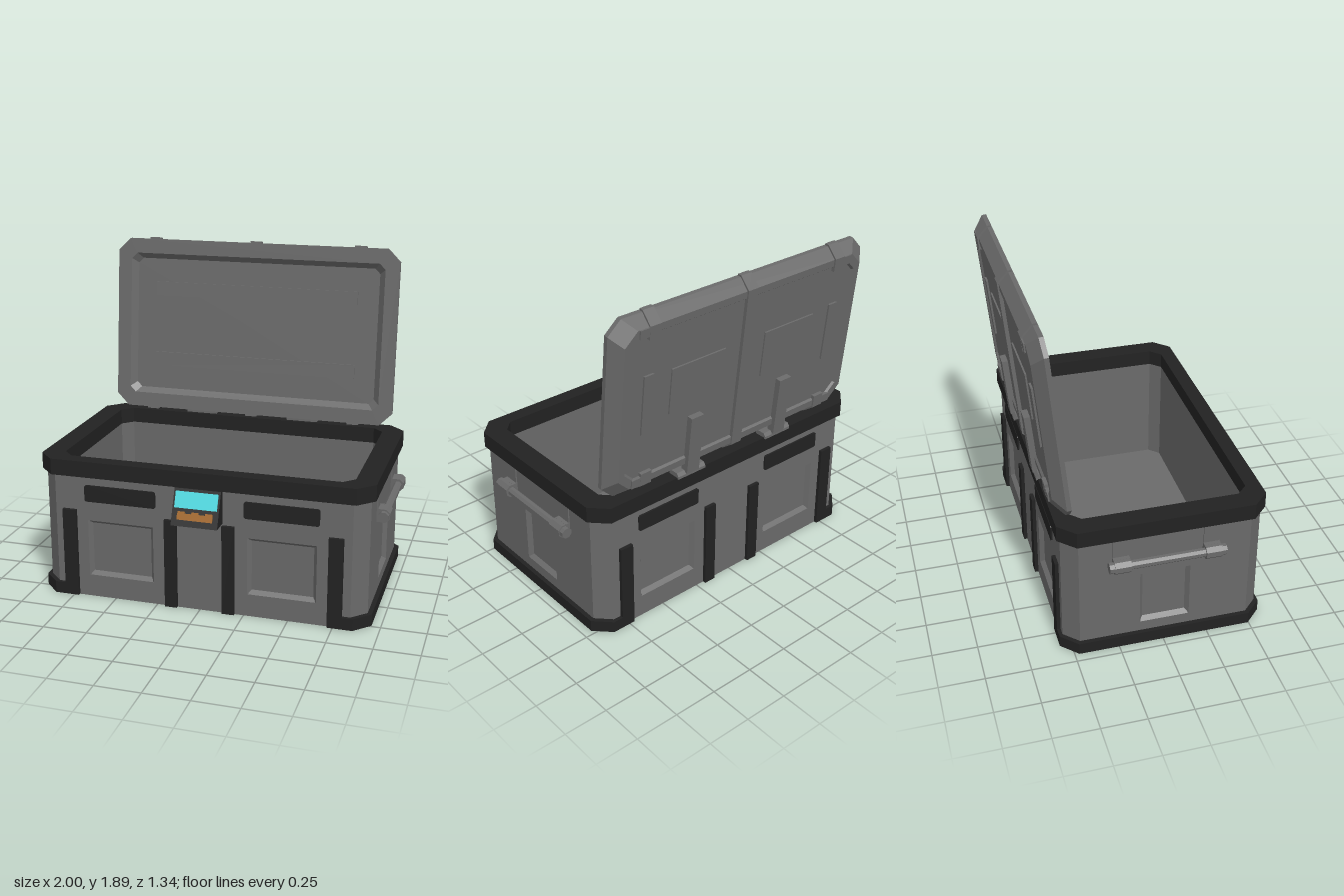
import * as THREE from 'three';

const mat = (name, color) => { const m = new THREE.MeshStandardMaterial({ color }); m.name = name; return m; };

// Mirror a quarter outline (from +x round to +y) into a full loop
function mirror4(q) {
  const r = [...q].reverse();
  return [...q, ...r.map(([x, y]) => [-x, y]), ...q.map(([x, y]) => [-x, -y]), ...r.map(([x, y]) => [x, -y])];
}
const chamferRect = (hx, hy, c) => mirror4([[hx, hy - c], [hx - c, hy]]);
const toShape = pts => new THREE.Shape(pts.map(p => new THREE.Vector2(...p)));

// Extrude a plan outline upward from y0 to y1, optionally hollow
function slab(pts, y0, y1, hole) {
  const s = toShape(pts);
  if (hole) s.holes.push(new THREE.Path(hole.map(p => new THREE.Vector2(...p))));
  return new THREE.ExtrudeGeometry(s, { depth: y1 - y0, bevelEnabled: false }).rotateX(-Math.PI / 2).translate(0, y0, 0);
}

// Extrude a (z, y) side profile across x, centred
function prism(profile, width) {
  return new THREE.ExtrudeGeometry(toShape(profile), { depth: width, bevelEnabled: false })
    .translate(0, 0, -width / 2).rotateY(-Math.PI / 2);
}

// Closed, faceted skin through loops of [points, z], front to back
function loft(loops) {
  const pos = [], P = loops.map(([pts, z]) => pts.map(([x, y]) => [x, y, z]));
  const tri = (...v) => v.forEach(p => pos.push(...p));
  const n = P[0].length, last = P.length - 1;
  for (let i = 0; i < n; i++) {
    const j = (i + 1) % n;
    tri([0, 0, loops[0][1]], P[0][i], P[0][j]);
    tri([0, 0, loops[last][1]], P[last][j], P[last][i]);
    for (let k = 0; k < last; k++) {
      tri(P[k][i], P[k + 1][i], P[k + 1][j]);
      tri(P[k][i], P[k + 1][j], P[k][j]);
    }
  }
  const g = new THREE.BufferGeometry();
  g.setAttribute('position', new THREE.Float32BufferAttribute(pos, 3));
  g.computeVertexNormals();
  return g;
}

export function createModel() {
  const grey = mat('greyShell', 0x6a6a6a), black = mat('blackTrim', 0x222222);
  const cyan = mat('cyanDisplay', 0x4ad9e0), orange = mat('orangeKeys', 0xa0641e);
  const model = new THREE.Group();
  model.name = 'storageCrate';

  const add = (parent, name, geo, m, x = 0, y = 0, z = 0) => {
    const mesh = new THREE.Mesh(geo, m);
    mesh.name = name;
    mesh.position.set(x, y, z);
    parent.add(mesh);
    return mesh;
  };
  // Box given by its bounds
  const box = (parent, name, m, x0, x1, y0, y1, z0, z1) =>
    add(parent, name, new THREE.BoxGeometry(x1 - x0, y1 - y0, z1 - z0), m, (x0 + x1) / 2, (y0 + y1) / 2, (z0 + z1) / 2);
  // Faceted rod along z
  const rod = (parent, name, r, len, x, y, z) => {
    const g = new THREE.CylinderGeometry(r, r, len, 8).rotateY(Math.PI / 8).rotateX(Math.PI / 2).toNonIndexed();
    g.computeVertexNormals();
    return add(parent, name, g, grey, x, y, z);
  };

  // Hollow body; the middle band is notched for the recessed panels
  const body = new THREE.Group();
  body.name = 'body';
  body.position.z = 0.01;
  model.add(body);
  const outer = chamferRect(0.925, 0.555, 0.08), inner = chamferRect(0.83, 0.49, 0.06);
  const notched = mirror4([[0.9, 0.12], [0.925, 0.14], [0.925, 0.475], [0.845, 0.555],
    [0.655, 0.555], [0.635, 0.53], [0.29, 0.53], [0.27, 0.555]]);
  add(body, 'floor', slab(outer, 0, 0.05), grey);
  add(body, 'lowerWall', slab(outer, 0.05, 0.13, inner), grey);
  add(body, 'panelWall', slab(notched, 0.13, 0.46, inner), grey);
  add(body, 'upperWall', slab(outer, 0.46, 0.72, inner), grey);
  add(body, 'rim', slab(chamferRect(0.95, 0.575, 0.09), 0.72, 0.812, inner), black);

  // Sloped sills above and below each recess
  const sills = (parent, face, width, x) => {
    const f = face, d = face - 0.025;
    add(parent, 'panelSill', prism([[d, 0.13], [f, 0.13], [d, 0.15]], width), grey, x);
    add(parent, 'panelHead', prism([[d, 0.46], [f, 0.46], [d, 0.44]], width), grey, x);
  };

  // Front and back trim
  for (const [name, turn] of [['frontTrim', 0], ['backTrim', Math.PI]]) {
    const g = new THREE.Group();
    g.name = name;
    g.rotation.y = turn;
    body.add(g);
    for (const s of [-1, 1]) {
      const post = (c, w) => box(g, 'post', black, s * c - w / 2, s * c + w / 2, 0.002, 0.52, 0.54, 0.575);
      post(0.76, 0.08);
      post(0.165, 0.07);
      const plate = new THREE.ExtrudeGeometry(toShape(chamferRect(0.208, 0.048, 0.008)), { depth: 0.015, bevelEnabled: false });
      add(g, 'darkPlate', plate, black, s * 0.46, 0.623, 0.55);
      sills(g, 0.555, 0.37, s * 0.4625);
    }
  }

  // Ends: base band, recess and carrying handle
  for (const s of [-1, 1]) {
    const band = [[0.72, 0.575], [0.86, 0.575], [0.95, 0.485], [0.95, -0.485], [0.86, -0.575], [0.72, -0.575],
      [0.72, -0.53], [0.84, -0.53], [0.89, -0.47], [0.89, 0.47], [0.84, 0.53], [0.72, 0.53]];
    add(body, 'baseBand', slab(band.map(([x, z]) => [s * x, z]), 0.002, 0.07), black);
    const end = new THREE.Group();
    end.name = 'endPanel';
    end.rotation.y = s * Math.PI / 2;
    body.add(end);
    sills(end, 0.925, 0.27, 0);

    const handle = new THREE.Group();
    handle.name = 'handle';
    body.add(handle);
    rod(handle, 'grip', 0.025, 0.64, s * 0.965, 0.567, 0);
    for (const t of [-1, 1]) {
      rod(handle, 'gripClamp', 0.04, 0.09, s * 0.962, 0.567, t * 0.25);
      rod(handle, 'gripEnd', 0.031, 0.03, s * 0.965, 0.567, t * 0.307);
      add(handle, 'clampMount', new THREE.BoxGeometry(0.04, 0.075, 0.09), grey, s * 0.935, 0.567, t * 0.25);
      add(handle, 'mountStrip', new THREE.BoxGeometry(0.02, 0.13, 0.085), grey, s * 0.922, 0.655, t * 0.25);
    }
  }

  // Wedge lock with display and keys on its sloping face
  const lock = new THREE.Group();
  lock.name = 'lock';
  model.add(lock);
  add(lock, 'lockHousing', prism([[0.56, 0.53], [0.668, 0.53], [0.59, 0.72], [0.56, 0.72]], 0.262), black);
  const face = new THREE.Group();
  face.name = 'lockFace';
  face.position.set(0, 0.625, 0.629);
  face.rotation.x = -Math.atan2(0.078, 0.19);
  lock.add(face);
  box(face, 'display', cyan, -0.12, 0.12, -0.004, 0.087, -0.002, 0.006);
  box(face, 'keyPlate', orange, -0.1, 0.1, -0.068, -0.032, -0.002, 0.005);
  for (const x of [-0.078, 0, 0.078]) box(face, 'keyTab', orange, x - 0.02, x + 0.02, -0.034, -0.022, -0.002, 0.005);

  // Open lid, leaning back
  const lid = new THREE.Group();
  lid.name = 'lid';
  lid.position.set(0, 1.355, -0.527);
  lid.rotation.x = -0.1;
  model.add(lid);
  add(lid, 'lidShell', loft([
    [chamferRect(0.755, 0.405, 0.03), -0.035],
    [chamferRect(0.79, 0.437, 0.035), 0],
    [chamferRect(0.875, 0.525, 0.075), 0],
    [chamferRect(0.875, 0.525, 0.075), -0.025],
    [chamferRect(0.815, 0.47, 0.075), -0.085],
    [chamferRect(0.775, 0.43, 0.06), -0.085],
    [chamferRect(0.765, 0.42, 0.055), -0.073],
  ]), grey);
  for (const y of [-0.217, 0.222]) box(lid, 'innerRib', grey, -0.63, 0.63, y - 0.042, y + 0.042, -0.04, -0.023);

  // Clips wrapping the lid edge, top and bottom
  for (const v of [-1, 1]) {
    const clip = [[-0.004, 0.52], [-0.004, 0.535], [-0.028, 0.535], [-0.094, 0.476], [-0.094, 0.4], [-0.07, 0.4], [-0.07, 0.46]];
    for (const x of [-0.637, 0, 0.637]) add(lid, 'edgeClip', prism(clip.map(([z, y]) => [z, v * y]), 0.07), grey, x);
    for (const s of [-1, 1]) box(lid, 'cornerPad', grey, s * 0.67 - 0.06, s * 0.67 + 0.06, v * 0.445 - 0.025, v * 0.445 + 0.025, -0.093, -0.07);
  }
  box(lid, 'centreStrap', grey, -0.035, 0.035, -0.42, 0.42, -0.094, -0.07);

  // Back details and hinges
  for (const s of [-1, 1]) {
    box(lid, 'backPanel', grey, s * 0.32 - 0.18, s * 0.32 + 0.18, -0.1, 0.17, -0.082, -0.07);
    box(lid, 'backBar', grey, s * 0.65 - 0.03, s * 0.65 + 0.03, -0.16, 0.19, -0.084, -0.07);
    box(lid, 'hingeStrap', grey, s * 0.32 - 0.042, s * 0.32 + 0.042, -0.525, -0.17, -0.108, -0.06);
    add(model, 'hingeBase', prism([[-0.5, 0.805], [-0.5, 0.828], [-0.515, 0.838], [-0.56, 0.838], [-0.575, 0.82], [-0.575, 0.805]], 0.19), grey, s * 0.32);
  }
  return model;
}
